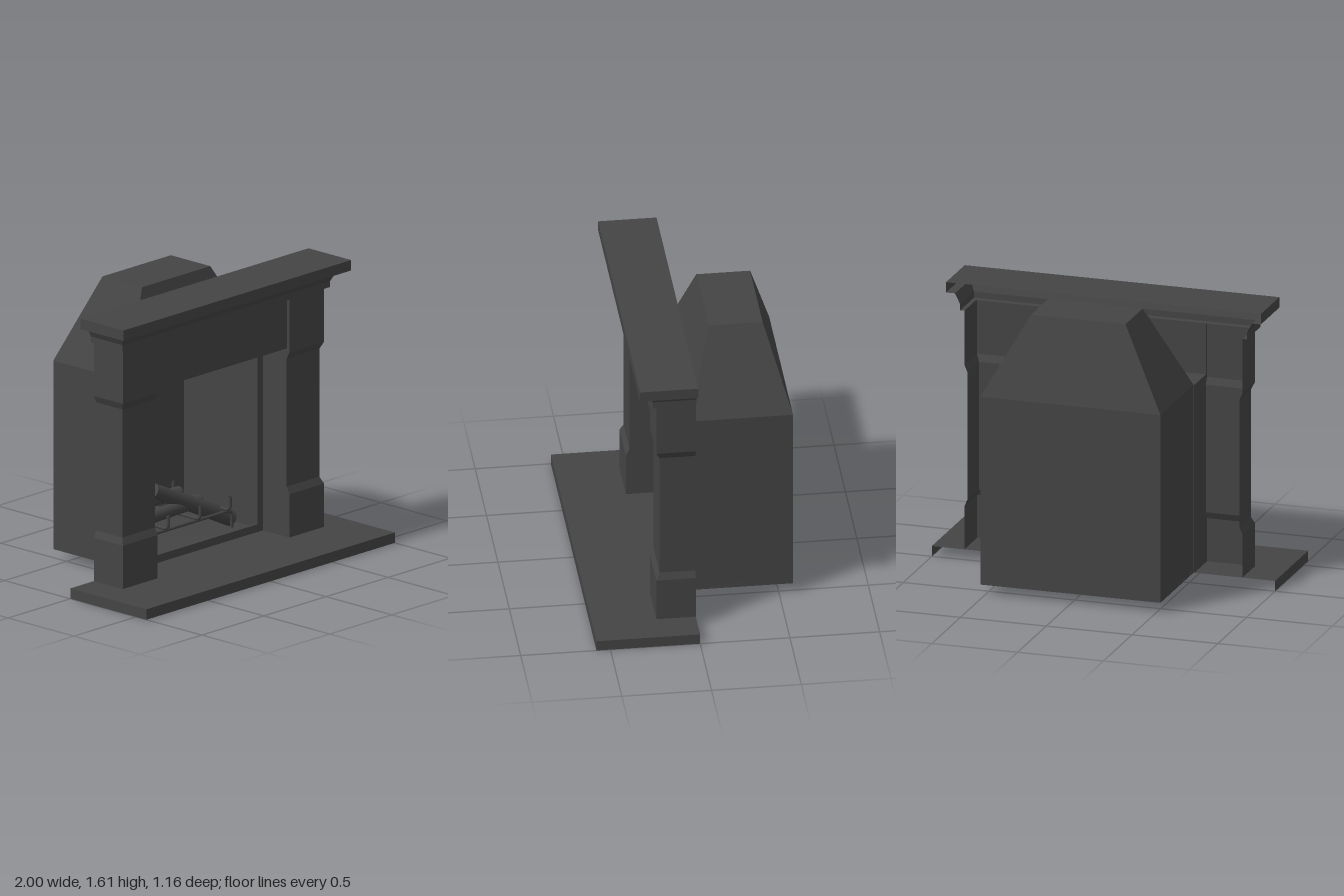
import * as THREE from 'three';

const material = new THREE.MeshStandardMaterial({ color: 0x444444, side: THREE.DoubleSide });

function add(parent, name, geometry) {
  const mesh = new THREE.Mesh(geometry, material);
  mesh.name = name;
  parent.add(mesh);
  return mesh;
}

// Flat-sided skin between successive rings of [x, y, z] points
function loft(rings, closed = false) {
  const pos = [];
  for (let i = 0; i < rings.length - 1; i++) {
    const n = rings[i].length;
    for (let j = 0; j < (closed ? n : n - 1); j++) {
      const k = (j + 1) % n;
      const a = rings[i][j], b = rings[i][k], c = rings[i + 1][k], d = rings[i + 1][j];
      pos.push(...a, ...b, ...c, ...a, ...c, ...d);
    }
  }
  const g = new THREE.BufferGeometry();
  g.setAttribute('position', new THREE.Float32BufferAttribute(pos, 3));
  g.computeVertexNormals();
  return g;
}

// Moulding with left, front and right faces and an open back at z = 0
const moulding = sections => loft(sections.map(([y, x, z]) =>
  [[-x, y, 0], [-x, y, z], [x, y, z], [x, y, 0]]));

// Straight runs of round bar joined by small bends
function rod(points, radius) {
  const path = new THREE.CurvePath();
  const v = points.map(p => new THREE.Vector3(...p));
  const bend = 0.03;
  let last = v[0];
  for (let i = 1; i < v.length - 1; i++) {
    const before = v[i].clone().add(v[i - 1].clone().sub(v[i]).setLength(bend));
    const after = v[i].clone().add(v[i + 1].clone().sub(v[i]).setLength(bend));
    path.add(new THREE.LineCurve3(last, before));
    path.add(new THREE.QuadraticBezierCurve3(before, v[i], after));
    last = after;
  }
  path.add(new THREE.LineCurve3(last, v[v.length - 1]));
  return new THREE.TubeGeometry(path, 40, radius, 8);
}

export function createModel() {
  const model = new THREE.Group();
  model.name = 'fireplace';
  const friezeZ = 0.203;

  // Hearth slab, open below and behind
  add(model, 'hearth', moulding([[0, 1, 0.578], [0.06, 1, 0.578], [0.06, 1, 0]]));

  // Pilasters with a wider base and capital block; the inner return stops at the frieze
  const pilaster = [ // y, outer x, front z, back z of the inner return
    [0.06, 0.81, 0.22, 0], [0.31, 0.81, 0.22, 0], [0.35, 0.793, 0.2, 0], [1.09, 0.793, 0.2, 0],
    [1.13, 0.81, 0.22, 0], [1.15, 0.81, 0.22, 0], [1.15, 0.81, 0.22, friezeZ], [1.445, 0.81, 0.22, friezeZ],
  ];
  for (const side of [-1, 1]) {
    const rings = pilaster.map(([y, outer, z, back]) => {
      const ring = [[side * outer, y, 0], [side * outer, y, z], [side * 0.53, y, z], [side * 0.53, y, back]];
      return side > 0 ? ring.reverse() : ring;
    });
    add(model, side > 0 ? 'leftPilaster' : 'rightPilaster', loft(rings));
  }

  // Recessed frieze panel with its soffit
  add(model, 'frieze', loft([[1.15, 0], [1.15, friezeZ], [1.445, friezeZ]].map(([y, z]) =>
    [[-0.53, y, z], [0.53, y, z]])));

  // Cornice and mantel shelf
  add(model, 'mantel', moulding([
    [1.445, 0.81, friezeZ], [1.445, 0.835, 0.242], [1.48, 0.835, 0.242], [1.54, 0.865, 0.27],
    [1.54, 0.917, 0.325], [1.6, 0.917, 0.325], [1.6, 0.917, 0],
  ]));

  // Firebox walls, open to the front and below
  const walls = moulding([[0.06, 0.525, 0.578], [1.15, 0.525, 0.578]]);
  walls.rotateY(Math.PI);
  add(model, 'firebox', walls);

  // Tapered smoke hood with a flat top
  const ring = (y, x, front, back) =>
    [[-x, y, front], [x, y, front], [x, y, back], [-x, y, back]];
  add(model, 'smokeHood', loft([
    ring(1.15, 0.525, 0, -0.578), ring(1.61, 0.275, -0.14, -0.44), ring(1.61, 0, -0.29, -0.29),
  ], true));

  // Frame around the opening
  const corners = list => list.map(p => new THREE.Vector2(...p));
  const frame = new THREE.Shape(corners([[-0.528, 0.06], [0.528, 0.06], [0.528, 1.15], [-0.528, 1.15]]));
  frame.holes.push(new THREE.Path(corners([[-0.485, 0.105], [-0.485, 1.105], [0.485, 1.105], [0.485, 0.105]])));
  add(model, 'openingFrame', new THREE.ExtrudeGeometry(frame, { depth: 0.02, bevelEnabled: false }));

  // Ash bed rising gently towards the back
  const ash = new THREE.PlaneGeometry(1.052, 0.578, 16, 10);
  ash.rotateX(-Math.PI / 2);
  ash.translate(0, 0, -0.289);
  const p = ash.attributes.position;
  for (let i = 0; i < p.count; i++) {
    const x = p.getX(i), t = -p.getZ(i) / 0.578;
    p.setY(i, 0.075 + 0.07 * t * t + 0.012 * Math.sin(7 * x + 4 * t));
  }
  ash.computeVertexNormals();
  add(model, 'ashBed', ash);

  // Grate: front and back rails on legs, crossed by four upturned bars
  const grate = new THREE.Group();
  grate.name = 'grate';
  model.add(grate);
  for (const z of [-0.12, -0.46]) {
    add(grate, 'grateRail', rod([[-0.425, 0.062, z], [-0.425, 0.172, z], [0.425, 0.172, z], [0.425, 0.062, z]], 0.01));
  }
  for (const x of [-0.37, -0.127, 0.13, 0.37]) {
    add(grate, 'grateBar', rod([[x, 0.27, -0.08], [x, 0.19, -0.08], [x, 0.19, -0.51], [x, 0.27, -0.51]], 0.01));
  }

  // Logs: start, end, start radius, end radius
  const logs = [
    [[-0.44, 0.25, -0.41], [0.28, 0.25, -0.38], 0.037, 0.037],
    [[-0.28, 0.245, -0.18], [0.27, 0.24, -0.22], 0.037, 0.037],
    [[-0.08, 0.37, -0.24], [0.46, 0.11, -0.16], 0.042, 0.048],
  ];
  for (const [from, to, startRadius, endRadius] of logs) {
    const a = new THREE.Vector3(...from), b = new THREE.Vector3(...to);
    const log = add(model, 'log', new THREE.CylinderGeometry(endRadius, startRadius, a.distanceTo(b), 16));
    log.position.copy(a).lerp(b, 0.5);
    log.quaternion.setFromUnitVectors(new THREE.Vector3(0, 1, 0), b.sub(a).normalize());
  }

  return model;
}
